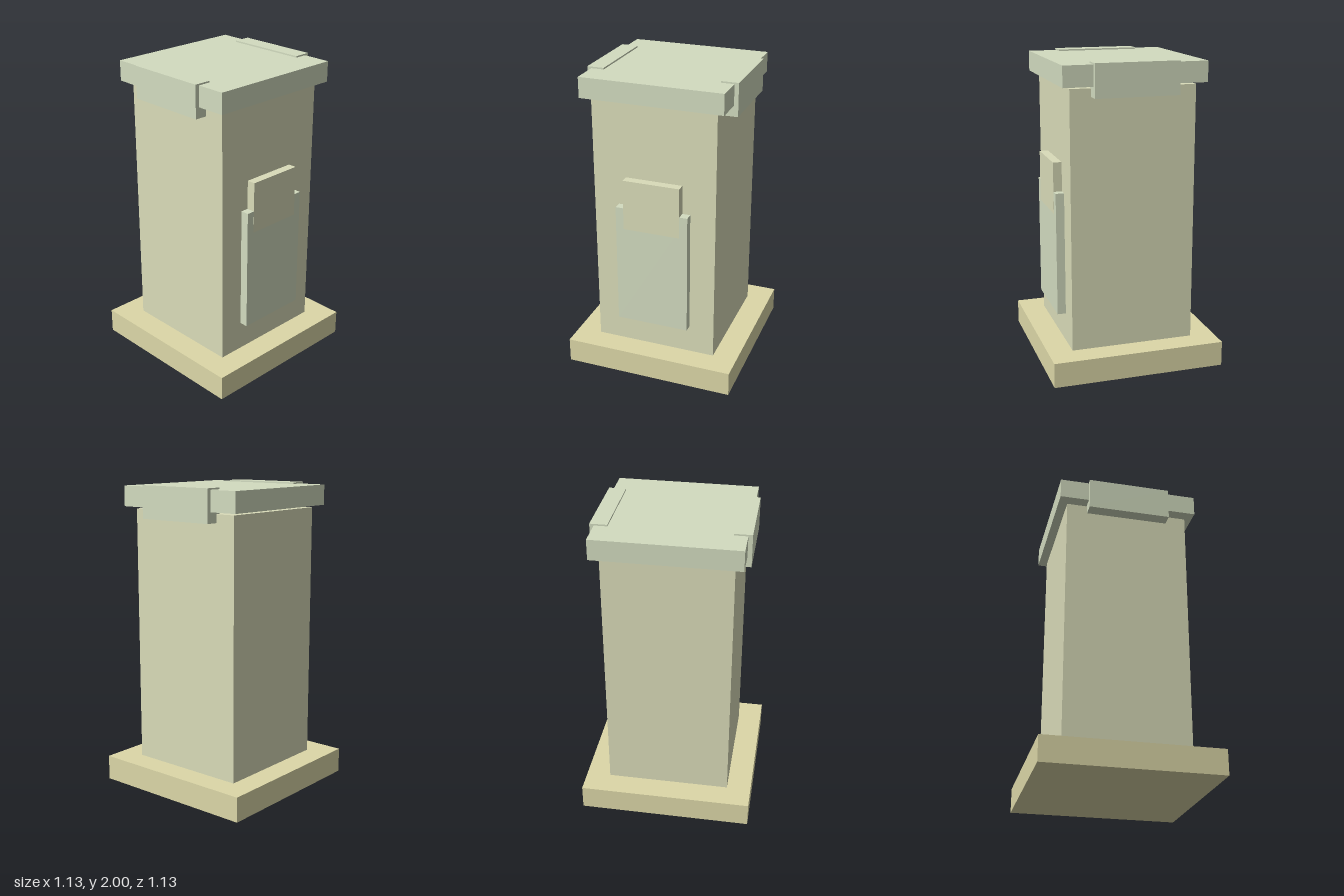
import * as THREE from 'three';

const SAND = 0xddd8a8, STONE = 0xdadcb9, SAGE = 0xd3dcc0;

export function createModel() {
  const model = new THREE.Group();
  model.name = 'pedestal';

  // Box given by its centre x, bottom and top y, back and front z
  function addBox(name, color, width, x, [y0, y1], [z0, z1]) {
    const mesh = new THREE.Mesh(
      new THREE.BoxGeometry(width, y1 - y0, z1 - z0),
      new THREE.MeshStandardMaterial({ color })
    );
    mesh.name = name;
    mesh.position.set(x, (y0 + y1) / 2, (z0 + z1) / 2);
    model.add(mesh);
  }

  // Square plinth and shaft
  addBox('base', SAND, 1.13, 0, [0, 0.163], [-0.565, 0.565]);
  addBox('column', STONE, 0.81, 0, [0.163, 1.843], [-0.405, 0.405]);

  // Cap slab, held just above the shaft by a bracket on each side
  addBox('cap', SAGE, 0.92, 0, [1.858, 1.99], [-0.46, 0.46]);
  for (const [name, side] of [['leftBracket', 1], ['rightBracket', -1]]) {
    addBox(name, SAGE, 0.11, side * 0.432, [1.79, 2], [-0.27, 0.27]);
  }

  // Stepped plaque on the front face; the upper plate overlaps the lower one
  addBox('lowerPlaque', SAGE, 0.48, 0, [0.355, 1.165], [0.4, 0.46]);
  addBox('upperPlaque', STONE, 0.375, 0, [1.02, 1.355], [0.4, 0.461]);

  return model;
}
